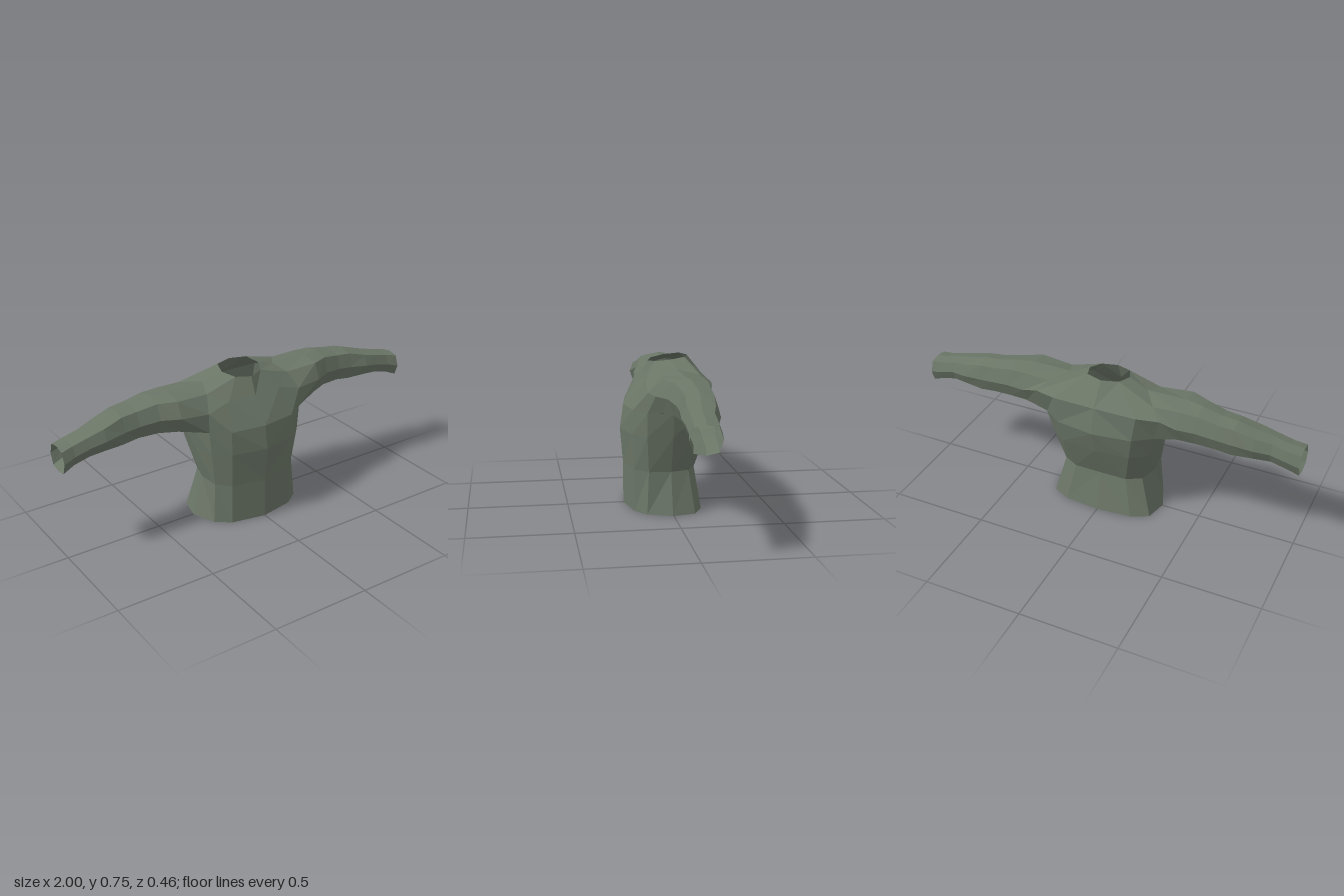
import * as THREE from 'three';

// Points are [x, y, z] on the +x half; the other half is mirrored.
const column = (y, xz) => xz.map(([x, z]) => [x, y, z]);

// Torso rings, centre front round to centre back
const torsoRings = [
  column(0, [[0, .215], [.175, .18], [.25, .125], [.297, .005], [.27, -.11], [.18, -.155], [0, -.17]]),
  column(.21, [[0, .215], [.175, .18], [.235, .115], [.242, .005], [.215, -.085], [.14, -.125], [0, -.127]]),
  column(.39, [[0, .23], [.18, .19], [.26, .125], [.28, 0], [.265, -.115], [.18, -.18], [0, -.195]]),
  column(.512, [[0, .212], [.18, .185], [.27, .125], [.3, 0], [.29, -.135], [.2, -.2], [0, -.227]]),
];
const chest = torsoRings[3];

// Armhole ring: underarm, front, top, back
const armhole = [
  chest[3], chest[2], [.27, .61, .122], [.24, .685, .06],
  [.21, .71, -.03], [.28, .69, -.13], [.33, .64, -.167], chest[4],
];

// Sleeve stations: x, top, bottom, front z, back z
const sleeveRings = [armhole, ...[
  [.41, .71, .522, .106, -.16],
  [.5, .706, .525, .062, -.152],
  [.6, .686, .522, .042, -.145],
  [.68, .678, .51, .04, -.138],
  [.78, .647, .515, .05, -.125],
  [.86, .626, .51, .045, -.1],
  [.94, .606, .49, .045, -.098],
  [1, .595, .465, .055, -.092],
].map(([x, top, bottom, front, back]) => {
  const cy = (top + bottom) / 2, h = (top - bottom) / 2;
  const cz = (front + back) / 2, d = (front - back) / 2;
  return [[-1, 0], [-.84, .74], [0, 1], [.84, .74], [1, 0], [.84, -.74], [0, -1], [-.84, -.74]]
    .map(([v, w]) => [x, cy + v * h, cz + w * d]);
})];

// Quads of the yoke between chest, armholes and neckline
function yokeQuads() {
  const c = chest, r = armhole;
  const neck = [[0, .73, .088], [.075, .735, .06], [.108, .745, -.01], [.085, .755, -.085], [0, .755, -.112]];
  const f0 = [0, .64, .125], f1 = [.15, .645, .118];
  const b0 = [0, .645, -.2], b1 = [.22, .645, -.197];
  return [
    [c[0], c[1], f1, f0], [c[1], c[2], r[2], f1],
    [f0, f1, neck[1], neck[0]], [f1, r[2], r[3], neck[1]],
    [neck[1], r[3], r[4], neck[2]], [neck[2], r[4], r[5], neck[3]],
    [neck[3], r[5], r[6], b1], [neck[3], b1, b0, neck[4]],
    [r[7], c[5], b1, r[6]], [c[5], c[6], b0, b1],
  ];
}

// Quads between successive rings
function loft(rings, closed, alongX) {
  const quads = [];
  for (let k = 0; k + 1 < rings.length; k++) {
    const a = rings[k], b = rings[k + 1], n = a.length;
    for (let i = 0; i < (closed ? n : n - 1); i++) {
      const j = (i + 1) % n;
      quads.push(alongX ? [a[i], b[i], b[j], a[j]] : [a[i], a[j], b[j], b[i]]);
    }
  }
  return quads;
}

function quadGeometry(quads, sides) {
  const pos = [];
  for (const s of sides) {
    for (const q of quads) {
      const p = q.map(([x, y, z]) => [x * s, y, z]);
      if (s < 0) p.reverse();
      // Keep the same diagonal on both halves
      const order = s > 0 ? [0, 1, 2, 0, 2, 3] : [3, 0, 1, 3, 1, 2];
      for (const i of order) pos.push(...p[i]);
    }
  }
  const g = new THREE.BufferGeometry();
  g.setAttribute('position', new THREE.Float32BufferAttribute(pos, 3));
  g.computeVertexNormals();
  return g;
}

export function createModel() {
  const group = new THREE.Group();
  group.name = 'sweater';
  const cloth = new THREE.MeshStandardMaterial({ color: 0x6b7667, flatShading: true, side: THREE.DoubleSide });
  cloth.name = 'grey green cloth';
  const add = (name, quads, sides) => {
    const mesh = new THREE.Mesh(quadGeometry(quads, sides), cloth);
    mesh.name = name;
    group.add(mesh);
  };
  add('torso', loft(torsoRings, false, false), [1, -1]);
  add('yoke', yokeQuads(), [1, -1]);
  const sleeve = loft(sleeveRings, true, true);
  add('leftSleeve', sleeve, [1]);
  add('rightSleeve', sleeve, [-1]);
  return group;
}
